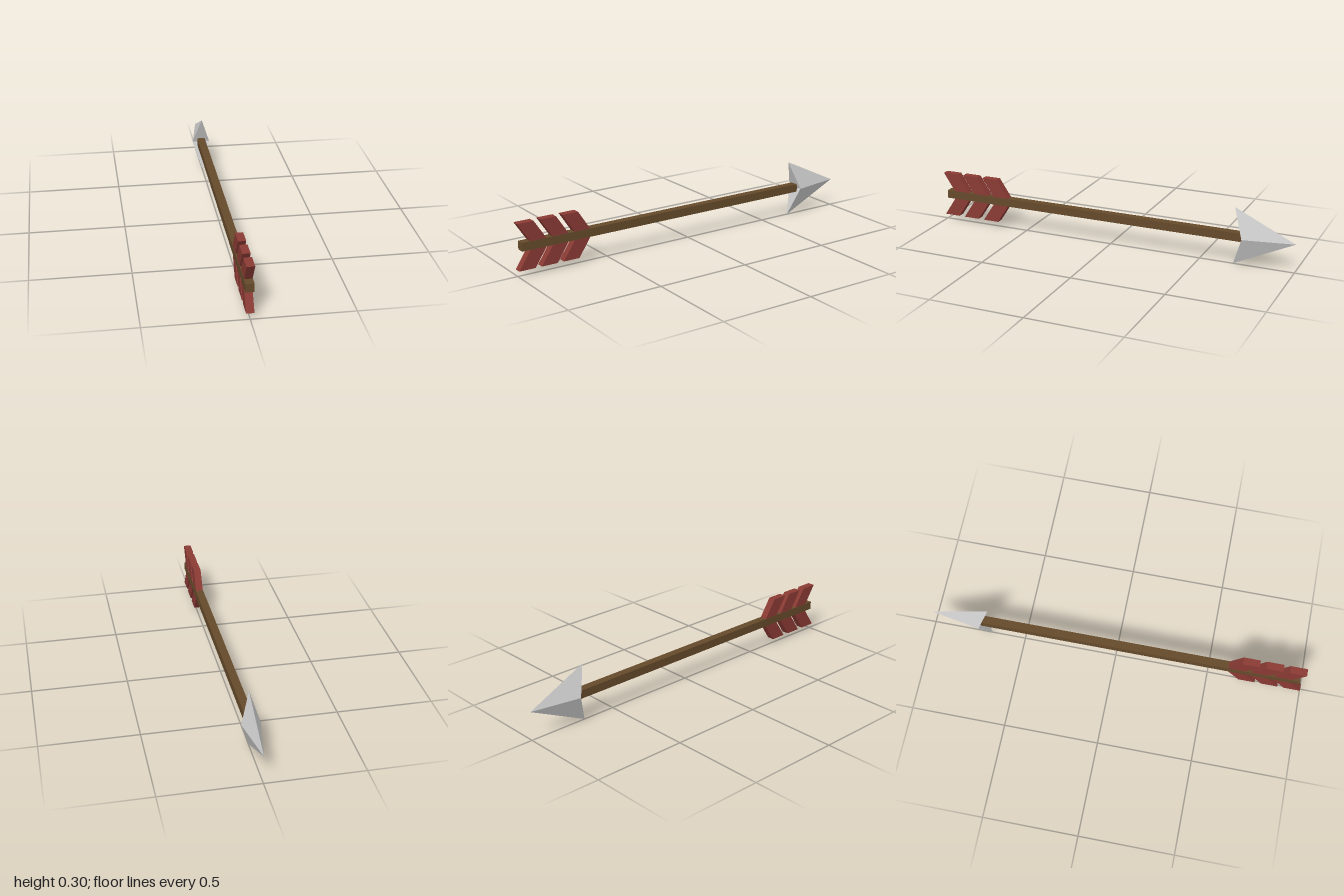
import * as THREE from 'three';

const MID_Y = 0.154;

const material = (color) => new THREE.MeshStandardMaterial({ color, flatShading: true });

function addMesh(parent, name, geometry, mat) {
  const mesh = new THREE.Mesh(geometry, mat);
  mesh.name = name;
  parent.add(mesh);
  return mesh;
}

// Four-sided blade with a swept back, folded along its left-right line
function headGeometry() {
  const top = [0, 0.152, -0.68];
  const bottom = [0, -0.152, -0.68];
  const left = [0.048, 0, -0.733];
  const right = [-0.048, 0, -0.733];
  const tip = [0, 0, -1];
  const corners = [
    top, left, tip, top, tip, right,
    bottom, tip, left, bottom, right, tip,
    top, right, left, bottom, left, right,
  ];
  const geometry = new THREE.BufferGeometry();
  geometry.setAttribute('position', new THREE.Float32BufferAttribute(corners.flat(), 3));
  geometry.computeVertexNormals();
  return geometry;
}

// Slanted feather: a parallelogram in the z-y plane, extruded across x
function featherGeometry(outerZ, side) {
  const width = 0.088, thickness = 0.039;
  const innerY = 0.018, outerY = 0.121, sweep = 0.068;
  const shape = new THREE.Shape([
    new THREE.Vector2(outerZ, side * outerY),
    new THREE.Vector2(outerZ - width, side * outerY),
    new THREE.Vector2(outerZ - width - sweep, side * innerY),
    new THREE.Vector2(outerZ - sweep, side * innerY),
  ]);
  return new THREE.ExtrudeGeometry(shape, { depth: thickness, bevelEnabled: false })
    .translate(0, 0, -thickness / 2)
    .rotateY(-Math.PI / 2);
}

export function createModel() {
  const arrow = new THREE.Group();
  arrow.name = 'arrow';
  arrow.position.y = MID_Y;
  const wood = material(0x654a2a);
  const red = material(0x8a3a34);
  const grey = material(0xcccccc);

  // Square shaft
  const front = 0.98, back = -0.74;
  const shaft = addMesh(arrow, 'shaft', new THREE.BoxGeometry(0.042, 0.044, front - back), wood);
  shaft.position.z = (front + back) / 2;

  addMesh(arrow, 'arrowhead', headGeometry(), grey);

  // Three pairs of feathers
  const fletching = new THREE.Group();
  fletching.name = 'fletching';
  arrow.add(fletching);
  for (let i = 0; i < 3; i++) {
    for (const side of [1, -1]) {
      addMesh(fletching, side > 0 ? 'upperFeather' : 'lowerFeather',
        featherGeometry(1 - i * 0.122, side), red);
    }
  }

  const model = new THREE.Group();
  model.name = 'model';
  model.add(arrow);
  return model;
}
